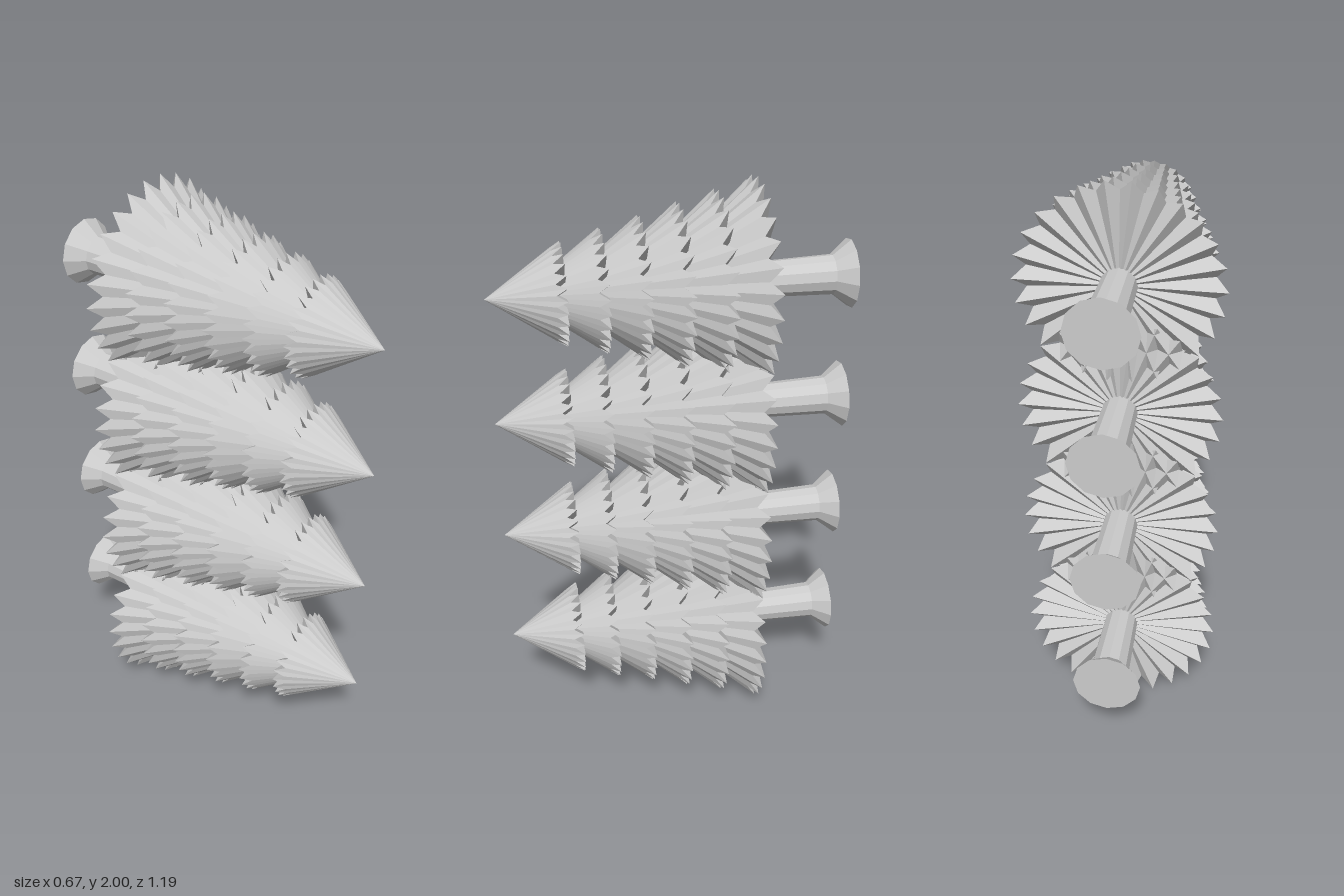
import * as THREE from 'three';

const TEETH = 26;

// Flat facets
function faceted(geometry) {
  const g = geometry.index ? geometry.toNonIndexed() : geometry;
  g.computeVertexNormals();
  return g;
}

// Cone along +z with a toothed rim and a pleated underside
function tierGeometry(radius, rimZ, apexZ) {
  const apex = [0, 0, apexZ];
  const centre = [0, 0, rimZ];
  const rim = (i) => {
    const a = (i * Math.PI) / TEETH;
    const notch = i % 2 === 1;
    const r = notch ? radius * 0.88 : radius;
    return [Math.cos(a) * r, Math.sin(a) * r, notch ? rimZ + 0.034 : rimZ];
  };
  const positions = [];
  for (let i = 0; i < TEETH * 2; i++) {
    const a = rim(i);
    const b = rim((i + 1) % (TEETH * 2));
    positions.push(...apex, ...a, ...b, ...centre, ...b, ...a);
  }
  const g = new THREE.BufferGeometry();
  g.setAttribute('position', new THREE.Float32BufferAttribute(positions, 3));
  return faceted(g);
}

// Cylinder section running along z, front end first
function shaftGeometry(frontRadius, backRadius, frontZ, backZ, open) {
  const g = new THREE.CylinderGeometry(frontRadius, backRadius, frontZ - backZ, 12, 1, open);
  g.rotateX(Math.PI / 2);
  g.translate(0, 0, (frontZ + backZ) / 2);
  return faceted(g);
}

export function createModel() {
  const model = new THREE.Group();
  model.name = 'stackedTrees';
  const grey = new THREE.MeshStandardMaterial({ color: 0xcccccc });
  grey.name = 'light grey';

  const radii = [0.166, 0.2, 0.231, 0.265, 0.297, 0.333];
  const tiers = radii.map((r, i) => tierGeometry(r, 0.343 - i * 0.1266, 0.593 - i * 0.1));
  const trunk = shaftGeometry(0.058, 0.066, -0.28, -0.54, true);
  const foot = shaftGeometry(0.066, 0.115, -0.54, -0.6, false);

  // Four identical trees lying with their tips forward
  for (let n = 0; n < 4; n++) {
    const tree = new THREE.Group();
    tree.name = `tree${n + 1}`;
    tree.position.y = 0.331 + n * 0.446;
    const add = (geometry, name) => {
      const mesh = new THREE.Mesh(geometry, grey);
      mesh.name = name;
      tree.add(mesh);
    };
    tiers.forEach((g, i) => add(g, `foliageTier${i + 1}`));
    add(trunk, 'trunk');
    add(foot, 'trunkFoot');
    model.add(tree);
  }
  return model;
}
